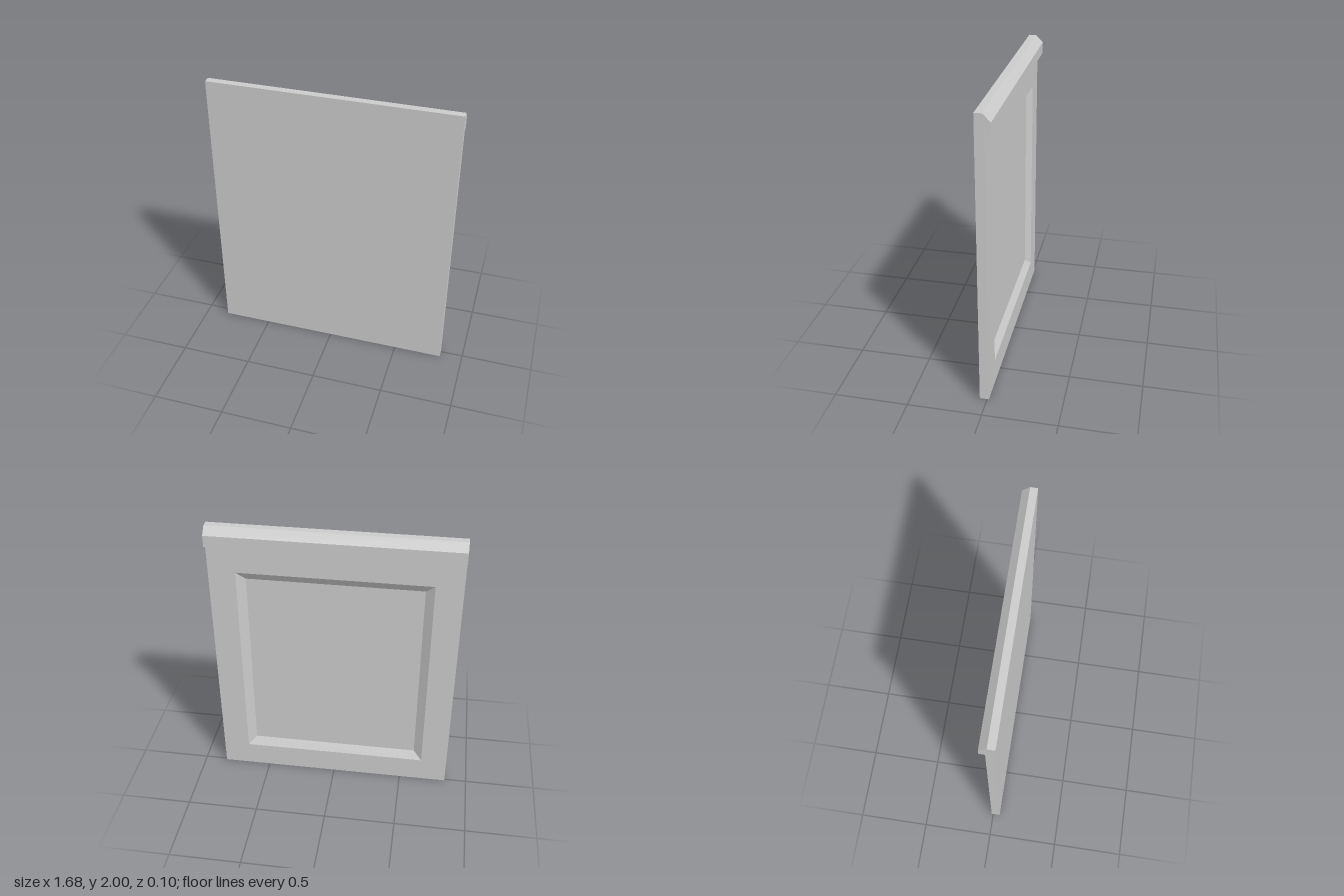
import * as THREE from 'three';

const HALF_WIDTH = 0.84, FRONT = 0.05, BACK = -0.012, RAIL_BOTTOM = 1.87;

// Skins a series of rectangles [halfWidth, bottom, top, z], front to back, and closes both ends
function loftRectangles(rects) {
  const rings = rects.map(([w, y0, y1, z]) => [[-w, y0, z], [w, y0, z], [w, y1, z], [-w, y1, z]]);
  const positions = [];
  const quad = (a, b, c, d) => positions.push(...a, ...b, ...c, ...a, ...c, ...d);
  const first = rings[0], last = rings[rings.length - 1];
  quad(first[0], first[1], first[2], first[3]);
  for (let r = 0; r < rings.length - 1; r++) {
    for (let i = 0; i < 4; i++) {
      const j = (i + 1) % 4;
      quad(rings[r][i], rings[r + 1][i], rings[r + 1][j], rings[r][j]);
    }
  }
  quad(last[0], last[3], last[2], last[1]);
  const geometry = new THREE.BufferGeometry();
  geometry.setAttribute('position', new THREE.Float32BufferAttribute(positions, 3));
  geometry.computeVertexNormals();
  return geometry;
}

export function createModel() {
  const group = new THREE.Group();
  group.name = 'panelDoor';
  const material = new THREE.MeshStandardMaterial({ color: 0xcccccc, flatShading: true });
  const add = (name, geometry) => {
    const mesh = new THREE.Mesh(geometry, material);
    mesh.name = name;
    group.add(mesh);
  };

  // Flat-fronted panel with a bevelled recess in its back
  add('recessedPanel', loftRectangles([
    [HALF_WIDTH, 0, RAIL_BOTTOM, FRONT],
    [HALF_WIDTH, 0, RAIL_BOTTOM, BACK],
    [0.655, 0.18, 1.675, BACK],
    [0.595, 0.24, 1.615, BACK + 0.036],
  ]));

  // Top rail with a chamfered lip overhanging the back; profile x runs from front to back
  const profile = new THREE.Shape([
    [-FRONT, RAIL_BOTTOM], [0.05, RAIL_BOTTOM], [0.05, 1.95], [0, 2], [-FRONT, 2],
  ].map(([x, y]) => new THREE.Vector2(x, y)));
  const rail = new THREE.ExtrudeGeometry(profile, { depth: HALF_WIDTH * 2, bevelEnabled: false });
  rail.rotateY(Math.PI / 2).translate(-HALF_WIDTH, 0, 0);
  add('topRail', rail);

  return group;
}
